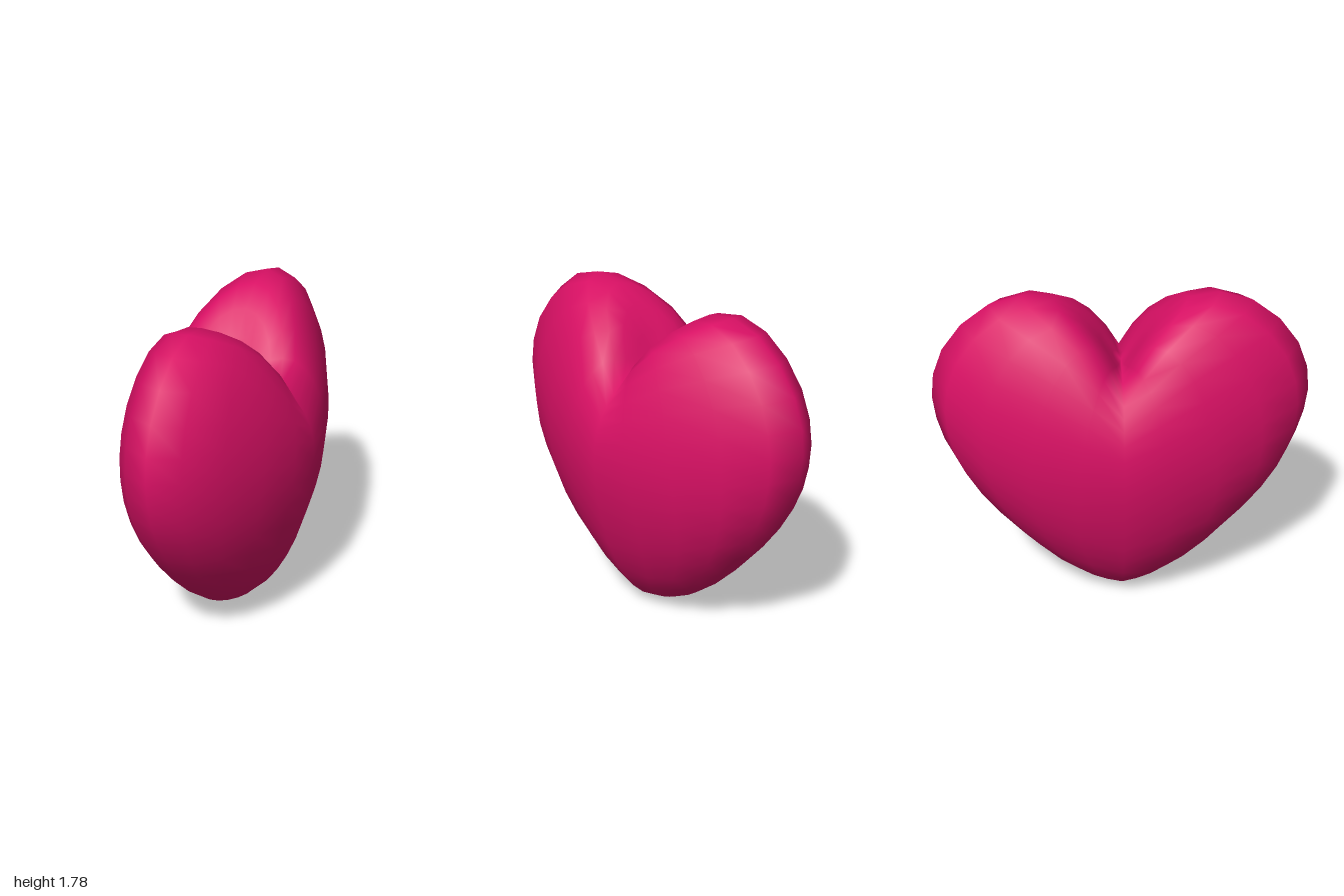
import * as THREE from 'three';
import { mergeVertices } from 'three/addons/utils/BufferGeometryUtils.js';

// Lobe outline in the z/y plane, from the bottom tip round to the cleft: [z, y]
const OUTLINE = [
  [0, 0], [0.13, 0.03], [0.27, 0.11], [0.42, 0.23], [0.565, 0.375], [0.7, 0.53], [0.805, 0.67],
  [0.89, 0.81], [0.95, 0.94], [0.985, 1.07], [1, 1.2], [0.985, 1.335], [0.93, 1.48], [0.825, 1.62],
  [0.68, 1.73], [0.51, 1.78], [0.345, 1.755], [0.21, 1.66], [0.11, 1.54], [0.045, 1.44], [0, 1.4],
];
// Height of the middle seam (z = 0) at the same steps
const SEAM = [
  0, 0.018, 0.06, 0.13, 0.22, 0.33, 0.45, 0.59, 0.72, 0.845, 0.955,
  1.06, 1.14, 1.205, 1.26, 1.31, 1.345, 1.37, 1.385, 1.395, 1.4,
];
const STEPS = OUTLINE.length - 1;
const HALF_WIDTH = 0.487;

export function createModel() {
  const group = new THREE.Group();
  group.name = 'heartModel';

  // A sphere whose rings are bent between the seam and the lobe outline
  const sphere = new THREE.SphereGeometry(1, 20, STEPS);
  const pos = sphere.attributes.position;
  for (let i = 0; i < pos.count; i++) {
    const row = STEPS - Math.floor(i / 21);
    const x = pos.getX(i), z = pos.getZ(i), y = pos.getY(i);
    const ring = Math.hypot(x, z);
    const s = ring > 1e-6 ? Math.abs(z) / ring : 0;
    const [outZ, outY] = OUTLINE[row];
    // pinch towards the seam, stronger near the cleft
    const pinch = Math.max(0, 0.32 + 0.36 * y);
    const squeeze = (1 - pinch * (1 - (s * ring) ** 2)) / (1 - pinch * (1 - ring ** 2));
    pos.setXYZ(
      i,
      ring > 1e-6 ? x * HALF_WIDTH : 0,
      THREE.MathUtils.lerp(SEAM[row], outY, s),
      ring > 1e-6 ? Math.sign(z) * outZ * s * squeeze : 0,
    );
  }

  // Weld the wrap-around edge and poles so the shading stays smooth
  sphere.deleteAttribute('uv');
  sphere.deleteAttribute('normal');
  const geometry = mergeVertices(sphere, 1e-4);
  geometry.computeVertexNormals();

  const heart = new THREE.Mesh(geometry, new THREE.MeshStandardMaterial({ color: 0xd81064 }));
  heart.name = 'heart';
  group.add(heart);
  return group;
}
